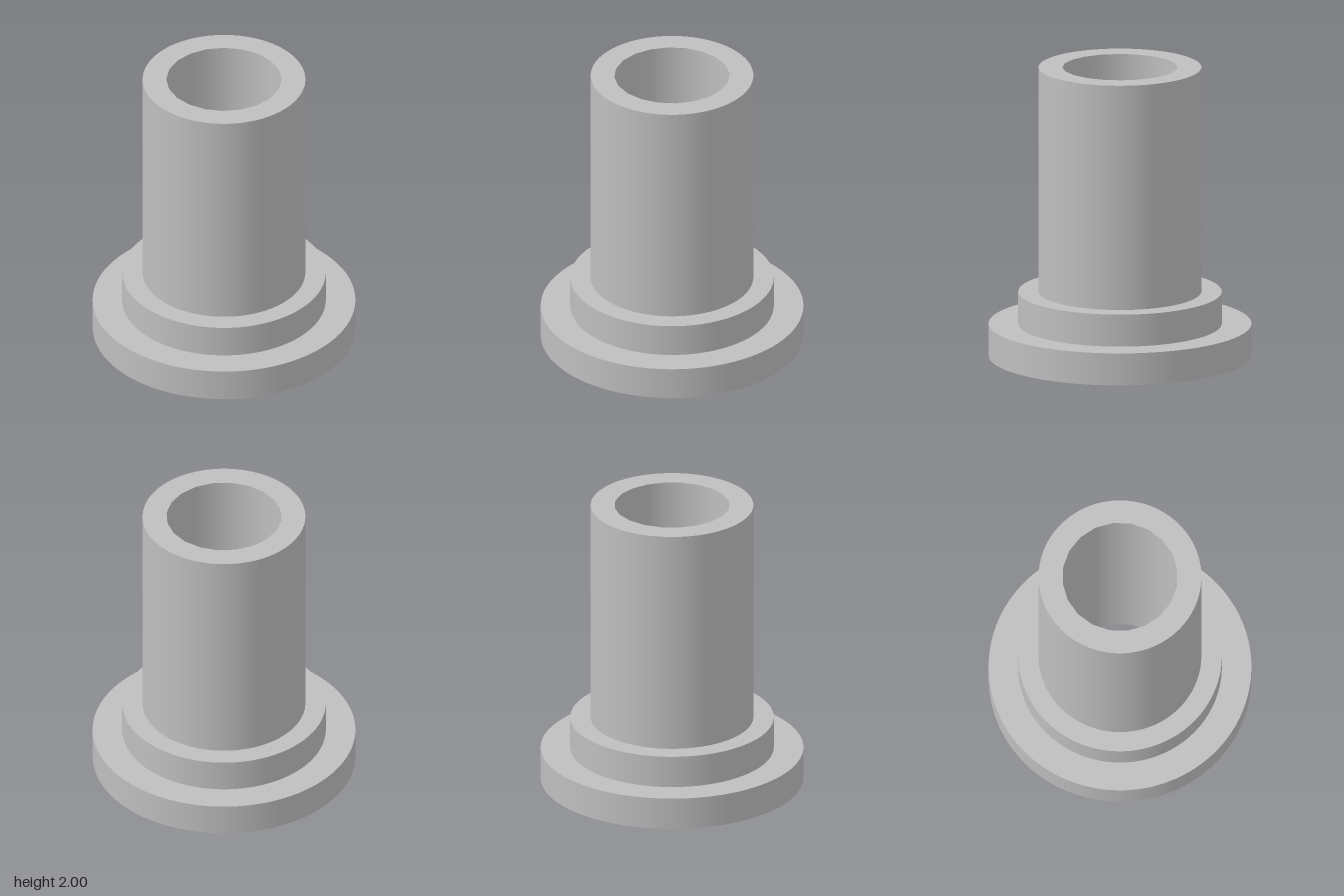
import * as THREE from 'three';

const SIDES = 80, BORE_SIDES = 20;

export function createModel() {
  const model = new THREE.Group();
  const grey = new THREE.MeshStandardMaterial({ color: 0xbfbfbf });
  grey.name = 'plain grey';

  const add = (name, geometry) => {
    const mesh = new THREE.Mesh(geometry, grey);
    mesh.name = name;
    model.add(mesh);
  };

  // Upright wall; it faces outwards when it runs upwards, inwards when downwards
  const wall = (r, from, to, sides) => new THREE.LatheGeometry(
    [new THREE.Vector2(r, from), new THREE.Vector2(r, to)], sides);

  const circle = (r, sides) => Array.from({ length: sides }, (_, i) => {
    const a = (i / sides) * Math.PI * 2;
    return new THREE.Vector2(r * Math.cos(a), r * Math.sin(a));
  });

  // Flat ring facing up or down
  const ring = (outer, inner, innerSides, y, up) => {
    const shape = new THREE.Shape(circle(outer, SIDES));
    shape.holes.push(new THREE.Path(circle(inner, innerSides)));
    return new THREE.ShapeGeometry(shape)
      .rotateX(up ? -Math.PI / 2 : Math.PI / 2)
      .translate(0, y, 0);
  };

  const bore = 0.39;
  const steps = [
    { name: 'baseFlange', r: 0.888, bottom: 0, top: 0.222 },
    { name: 'shoulder', r: 0.688, bottom: 0.222, top: 0.444 },
    { name: 'sleeve', r: 0.55, bottom: 0.444, top: 2 },
  ];

  // Stepped outside, each step with its wall and upper face
  steps.forEach(({ name, r, bottom, top }, i) => {
    const next = steps[i + 1];
    add(name + 'Wall', wall(r, bottom, top, SIDES));
    add(name + 'Top', ring(r, next ? next.r : bore, next ? SIDES : BORE_SIDES, top, true));
  });

  // Underside and through bore
  add('underside', ring(steps[0].r, bore, BORE_SIDES, 0, false));
  add('bore', wall(bore, 2, 0, BORE_SIDES));

  return model;
}
